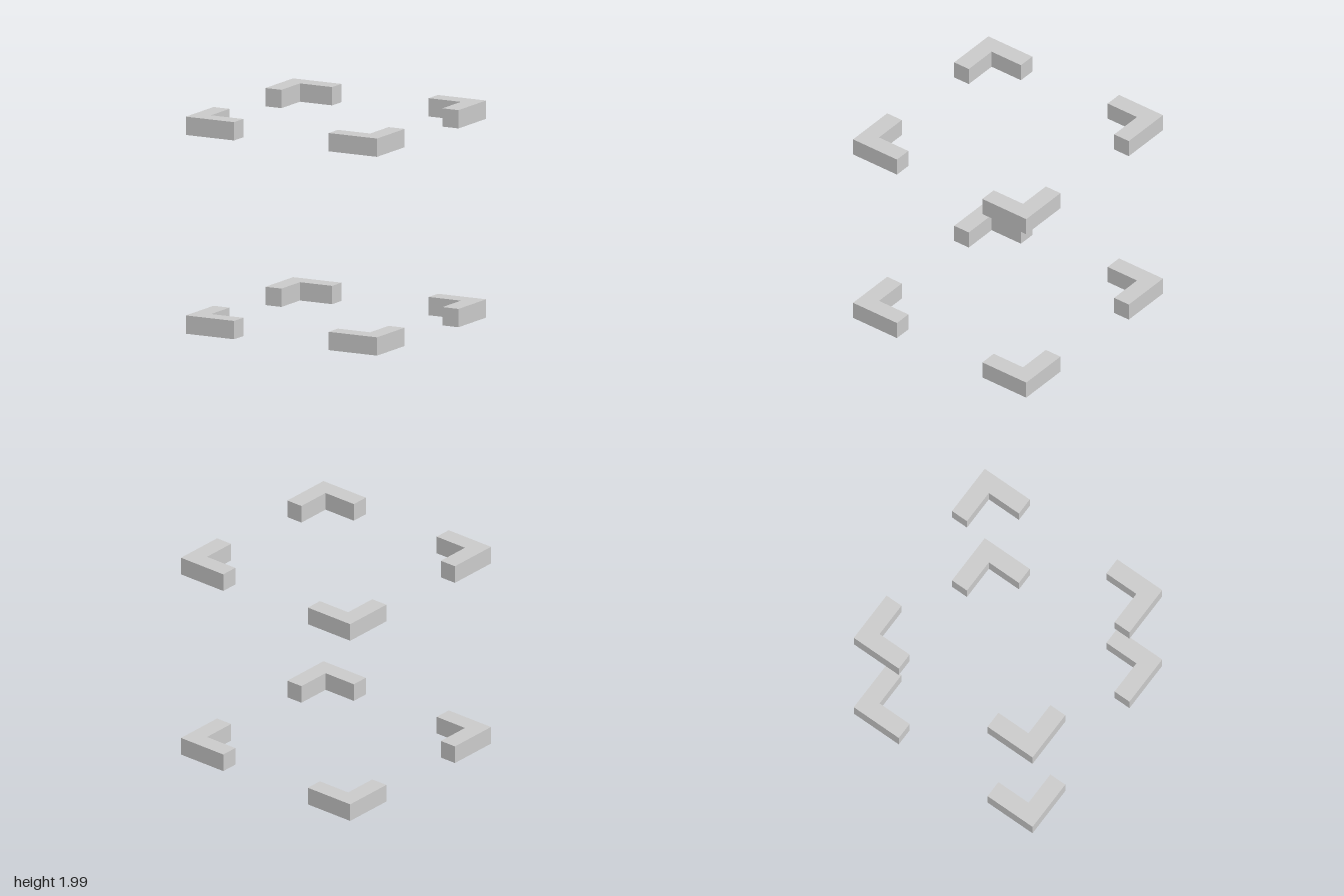
import * as THREE from 'three';

const ARM = 0.5;       // outer length of each arm
const THICK = 0.166;   // arm width
const HEIGHT = 0.168;
const TOP_Y = 1.823;   // underside of the upper brackets

// L-shaped corner bracket: outer corner at (x, z), arms running towards the centre
function bracketGeometry(x, z) {
  const sx = -Math.sign(x), sz = -Math.sign(z);
  const outline = [[0, 0], [ARM, 0], [ARM, THICK], [THICK, THICK], [THICK, ARM], [0, ARM]]
    .map(([a, b]) => new THREE.Vector2(x + sx * a, -(z + sz * b)));
  const geo = new THREE.ExtrudeGeometry(new THREE.Shape(outline), { depth: HEIGHT, bevelEnabled: false });
  return geo.rotateX(-Math.PI / 2);
}

export function createModel() {
  const model = new THREE.Group();
  model.name = 'cornerBrackets';
  const material = new THREE.MeshStandardMaterial({ color: 0xcccccc, flatShading: true });

  // Four corners; the front right one sits slightly inward
  const corners = [
    ['FrontLeft', 1, 0.986],
    ['FrontRight', -0.98, 0.986],
    ['BackLeft', 1, -0.986],
    ['BackRight', -1, -0.986],
  ];
  for (const [corner, x, z] of corners) {
    const geo = bracketGeometry(x, z);
    for (const [level, y] of [['lower', 0], ['upper', TOP_Y]]) {
      const bracket = new THREE.Mesh(geo, material);
      bracket.name = `${level}${corner}Bracket`;
      bracket.position.y = y;
      model.add(bracket);
    }
  }
  return model;
}
